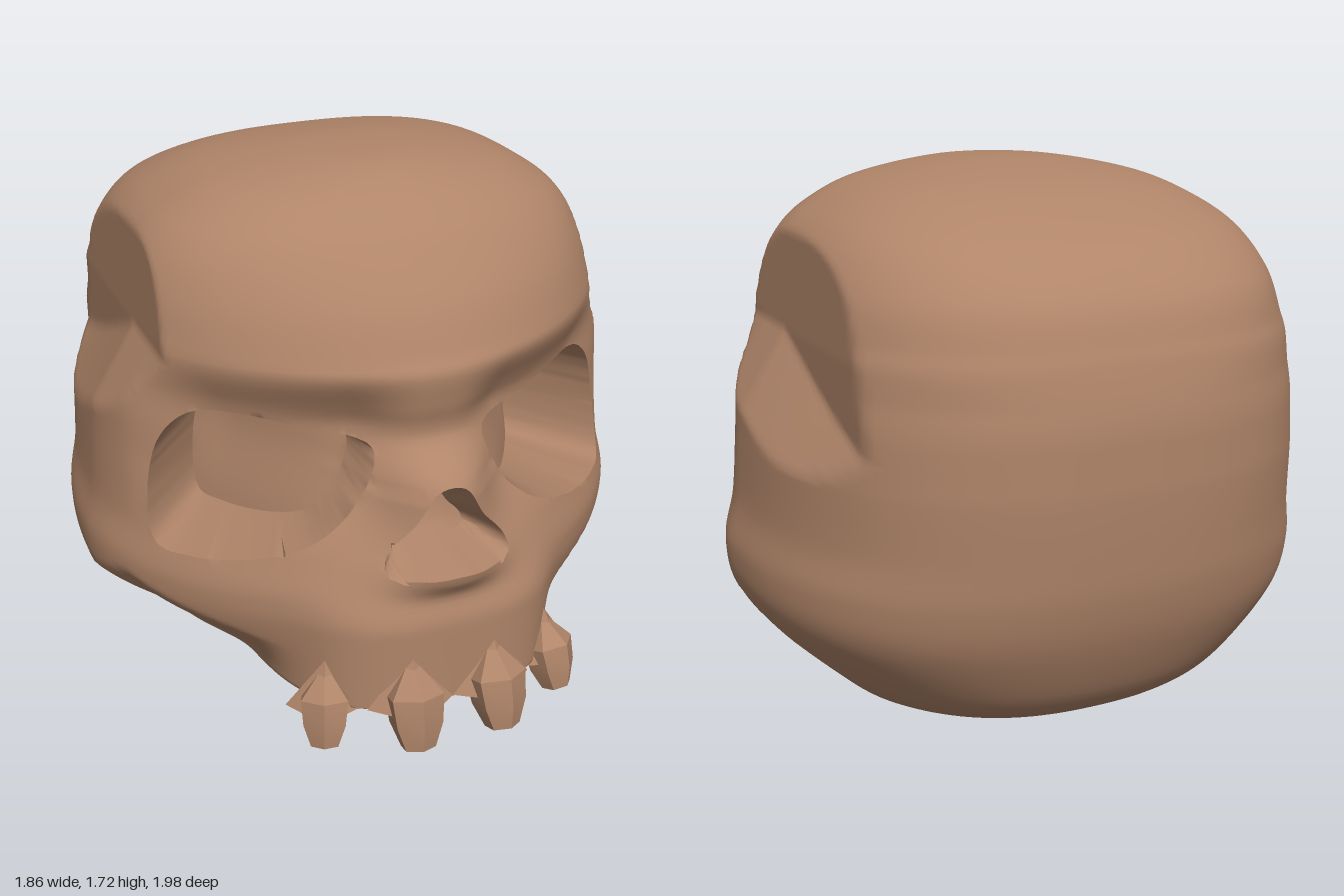
import * as THREE from 'three';
import { toCreasedNormals, mergeVertices } from 'three/addons/utils/BufferGeometryUtils.js';

const { clamp, smoothstep } = THREE.MathUtils;

// horizontal sections, top to bottom: y, half width, front z, back z, front roundness, back roundness
const SECTIONS = [
  [1.716, 0.001, 0.001, 0.001, 2, 2.2],
  [1.705, 0.22, 0.21, 0.16, 2, 2.4],
  [1.655, 0.47, 0.35, 0.42, 2.1, 2.6],
  [1.58, 0.62, 0.46, 0.62, 2.15, 2.8],
  [1.5, 0.71, 0.54, 0.77, 2.1, 2.8],
  [1.38, 0.78, 0.635, 0.9, 1.95, 2.7],
  [1.25, 0.825, 0.7, 0.955, 1.85, 2.6],
  [1.2, 0.84, 0.725, 0.97, 1.8, 2.6],
  [1.1, 0.86, 0.71, 0.99, 1.8, 2.5],
  [1.0, 0.875, 0.69, 1.0, 1.85, 2.5],
  [0.85, 0.885, 0.72, 1.0, 1.8, 2.5],
  [0.65, 0.9, 0.75, 0.985, 1.8, 2.45],
  [0.5, 0.93, 0.78, 0.965, 1.8, 2.4],
  [0.35, 0.9, 0.77, 0.92, 1.75, 2.4],
  [0.17, 0.755, 0.73, 0.83, 1.7, 2.4],
  [0.08, 0.65, 0.66, 0.74, 1.7, 2.4],
  [0.03, 0.52, 0.55, 0.63, 1.8, 2.4],
  [0.0, 0.32, 0.38, 0.46, 2, 2.2],
  [0.03, 0.001, 0.001, 0.001, 2, 2.2],
];

// smooth blend between the sections
function section(s) {
  const last = SECTIONS.length - 1;
  s = clamp(s, 0, last);
  const i = Math.min(Math.floor(s), last - 1), t = s - i;
  const at = (k) => SECTIONS[clamp(k, 0, last)];
  return SECTIONS[i].map((b, c) => {
    const a = at(i - 1)[c], d = at(i + 1)[c], e = at(i + 2)[c];
    const v = b + 0.5 * t * (d - a + t * (2 * a - 5 * b + 4 * d - e + t * (3 * (b - d) + e - a)));
    return clamp(v, Math.min(b, d), Math.max(b, d));
  });
}

// closed outline in (angle, height); reach() is below 1 inside it and 1 on its edge
// rings lists the reaches that nearby points are pulled onto
function outline(cx, cy, snap, rings, pts) {
  const curve = new THREE.CatmullRomCurve3(pts.map(([x, y]) => new THREE.Vector3(x - cx, y - cy, 0)), true, 'centripetal');
  const p = curve.getSpacedPoints(72);
  const reach = (x, y) => {
    const dx = x - cx, dy = y - cy;
    for (let i = 0; i < 72; i++) {
      const a = p[i], ex = p[i + 1].x - a.x, ey = p[i + 1].y - a.y;
      const den = dx * ey - dy * ex;
      const s = (a.x * dy - a.y * dx) / den, t = (a.x * ey - a.y * ex) / den;
      if (s >= 0 && s <= 1 && t > 0) return 1 / t;
    }
    return 9;
  };
  return { cx, cy, snap, rings, reach };
}

const eye = outline(0.78, 0.83, 0.05, [1, 0.87], [[0.27, 0.95], [0.34, 0.81], [0.5, 0.69], [0.72, 0.625], [1.0, 0.595],
  [1.17, 0.61], [1.22, 0.75], [1.2, 0.92], [1.1, 1.03], [0.9, 1.055], [0.6, 1.02], [0.36, 0.985]]);
const nose = outline(0, 0.7, 0.08, [1, 0.55], [[0, 0.875], [0.06, 0.86], [0.14, 0.76], [0.25, 0.655], [0.25, 0.61],
  [0.12, 0.605], [0, 0.615], [-0.12, 0.605], [-0.25, 0.61], [-0.25, 0.655], [-0.14, 0.76], [-0.06, 0.86]]);

const oval = (c, s, a, b, n) => Math.pow(Math.pow(Math.abs(s) / a, n) + Math.pow(Math.abs(c) / b, n), -1 / n);

// one point of the skull surface; angle 0 faces forward
function skullPoint(angle, s) {
  const side = angle < 0 ? -1 : 1;
  let th = Math.abs(angle), y = section(s)[0];

  // pull nearby points onto the outlines to keep their edges clean
  for (const o of [eye, nose]) {
    const e = o.reach(th, y);
    const ring = o.rings.find((k) => Math.abs(e - k) < o.snap);
    if (ring) {
      const slope = (section(s + 0.01)[0] - section(s - 0.01)[0]) / 0.02;
      const ny = o.cy + (y - o.cy) * ring / e;
      th = o.cx + (th - o.cx) * ring / e;
      s += (ny - y) / slope;
      y = ny;
      break;
    }
  }
  const [, w, zf, zb, nf, nb] = section(s);
  const sn = Math.sin(th), cs = Math.cos(th);
  let r = cs > 0 ? oval(cs, sn, w, zf, nf) : oval(cs, sn, w, zb, nb);

  // flat temple, cut off the side of the cranium and reaching lower toward the back
  for (let k = 0; k < 2; k++) {
    const low = 1.2 + 0.38 * Math.min(0, r * cs);
    const cap = 0.725 + 0.62 * Math.max(0, low - y) - 0.07 * Math.max(0, y - 1.2);
    if (r * sn > cap) r = cap / sn;
  }

  // hollow under the cheekbone, below a ridge that falls toward the back
  const ridge = th > 1.3 ? 0.47 - 0.37 * (th - 1.3) : 0.47 - 0.25 * (1.3 - th);
  r -= clamp((ridge - y) * 0.5, 0, 0.1) * smoothstep(th, 0.55, 0.95) * (1 - smoothstep(th, 1.85, 2.2)) * smoothstep(w, 0.3, 0.6);

  // muzzle
  if (cs > 0 && y < 0.85 && w > 0.4) {
    const m = (1 - 0.22 * smoothstep(y, 0.42, 0.8)) * (0.82 + 0.18 * smoothstep(y, 0.02, 0.15));
    const q = oval(cs, sn, 0.5 * m, 0.86 * m, 3.2);
    r = Math.pow(Math.pow(r, 22) + Math.pow(q, 22), 1 / 22);
  }
  // recess under the brow
  r -= 0.065 * (1 - smoothstep(y, 1.02, 1.25)) * smoothstep(y, 0.62, 0.9) *
    smoothstep(th, 0.05, 0.4) * (1 - smoothstep(th, 0.95, 1.35));
  // nasal bridge and the spine under the nose
  r += 0.1 * Math.exp(-((th / 0.24) ** 2)) * smoothstep(y, 0.5, 0.64) * (1 - smoothstep(y, 0.86, 1.0));
  r += 0.02 * Math.exp(-((th / 0.22) ** 2) - ((y - 0.595) / 0.06) ** 2);

  let x = r * sn, z = r * cs;
  // eye socket, deeper toward the outside, and nose opening
  const ke = clamp((1 - eye.reach(th, y)) / 0.13, 0, 1);
  z -= (0.11 + 0.18 * smoothstep(x, 0.15, 0.75)) * ke;
  x -= (x - 0.2) * 0.34 * ke;
  y += (y - 0.83) * 0.08 * ke;
  z -= 0.19 * clamp((1 - nose.reach(th, y)) / 0.45, 0, 1);
  // underside rises toward the front
  y += 0.09 * Math.max(0, z + 0.45) * (1 - smoothstep(y, 0.02, 0.18));
  return [x * side, y, z];
}

function skullGeometry() {
  const rows = [];
  for (let i = 0; i < SECTIONS.length - 1; i++) {
    const a = SECTIONS[i], b = SECTIONS[i + 1];
    const n = Math.ceil(Math.hypot(a[0] - b[0], a[1] - b[1]) / 0.02);
    for (let k = 0; k < n; k++) rows.push(i + k / n);
  }
  rows.push(SECTIONS.length - 1);
  const cols = 220, pos = [], index = [];
  rows.forEach((s, j) => {
    for (let i = 0; i < cols; i++) {
      const t = (i / cols) * 2 * Math.PI - Math.PI;
      pos.push(...skullPoint(t - 0.4 * Math.sin(t), s)); // finer columns on the face
      if (j === rows.length - 1) continue;
      const a = j * cols + i, d = j * cols + ((i + 1) % cols);
      index.push(a, a + cols, d + cols, a, d + cols, d);
    }
  });
  const g = new THREE.BufferGeometry();
  g.setAttribute('position', new THREE.Float32BufferAttribute(pos, 3));
  g.setIndex(index);
  return toCreasedNormals(mergeVertices(g, 1e-5), 0.8);
}

// faceted tooth with a blunt tip
function toothGeometry() {
  const profile = [[0, -0.145], [0.055, -0.14], [0.085, -0.06], [0.095, 0.03], [0, 0.15]];
  const g = new THREE.LatheGeometry(profile.map(([x, y]) => new THREE.Vector2(x, y)), 6);
  return toCreasedNormals(g, 0.35);
}

export function createModel() {
  const group = new THREE.Group();
  const bone = new THREE.MeshStandardMaterial({ color: 0xb08569 });
  bone.name = 'bone';

  const skull = new THREE.Mesh(skullGeometry(), bone);
  skull.name = 'skull';
  group.add(skull);

  // each tooth hangs from a pointed four-sided gum
  const tooth = toothGeometry();
  const gum = toCreasedNormals(new THREE.ConeGeometry(0.14, 0.19, 4), 0.35);
  for (const side of [1, -1]) {
    for (const [name, x, y, z, turn, size] of [['front', 0.14, 0.19, 0.88, 0.1, 1], ['side', 0.39, 0.17, 0.765, 0.4, 0.88]]) {
      const unit = new THREE.Group();
      unit.name = (side > 0 ? 'left ' : 'right ') + name + ' tooth';
      unit.position.set(x * side, y, z);
      unit.rotation.y = turn * side;
      unit.scale.setScalar(size);
      const crown = new THREE.Mesh(tooth, bone);
      crown.name = 'crown';
      crown.rotation.x = -0.32;
      const root = new THREE.Mesh(gum, bone);
      root.name = 'gum';
      root.position.set(0, 0.07, -0.035);
      root.scale.z = 0.8;
      unit.add(crown, root);
      group.add(unit);
    }
  }
  return group;
}
